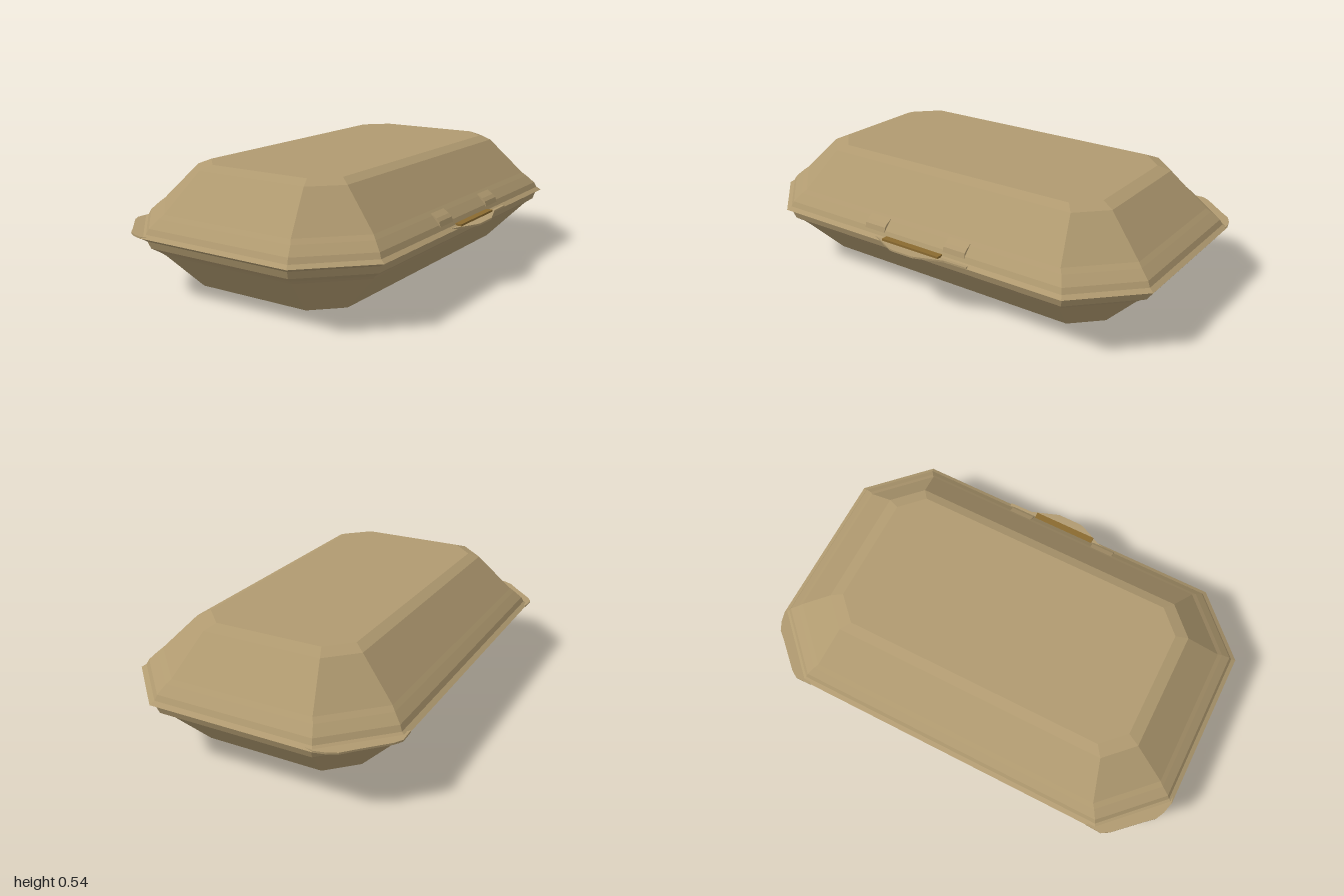
import * as THREE from 'three';

const CX = -0.025; // the body sits slightly off centre because of the latch tab
const board = new THREE.MeshStandardMaterial({ color: 0xb09a70, flatShading: true, side: THREE.DoubleSide });
const slotBrown = new THREE.MeshStandardMaterial({ color: 0x8a6a30, flatShading: true, side: THREE.DoubleSide });

// Octagon ring, counter-clockwise from above: half width, half length, corner cut, height
function ring([hx, hz, cut, y]) {
  return [
    [hx, hz - cut], [hx, cut - hz], [hx - cut, -hz], [cut - hx, -hz],
    [-hx, cut - hz], [-hx, hz - cut], [cut - hx, hz], [hx - cut, hz],
  ].map(([x, z]) => [x + CX, y, z]);
}

// Faceted skin over rings listed from bottom to top, closed at one end
function shell(name, sections, capTop) {
  const rings = sections.map(ring);
  const pos = [];
  const tri = (a, b, c) => pos.push(...a, ...b, ...c);
  for (let i = 0; i < rings.length - 1; i++) {
    for (let j = 0; j < 8; j++) {
      const k = (j + 1) % 8;
      tri(rings[i][j], rings[i][k], rings[i + 1][k]);
      tri(rings[i][j], rings[i + 1][k], rings[i + 1][j]);
    }
  }
  const cap = rings[capTop ? rings.length - 1 : 0];
  for (let j = 1; j < 7; j++) {
    if (capTop) tri(cap[0], cap[j], cap[j + 1]);
    else tri(cap[0], cap[j + 1], cap[j]);
  }
  const geo = new THREE.BufferGeometry();
  geo.setAttribute('position', new THREE.Float32BufferAttribute(pos, 3));
  geo.computeVertexNormals();
  const mesh = new THREE.Mesh(geo, board);
  mesh.name = name;
  return mesh;
}

// Thin horizontal plate from an outline in x and z
function plate(name, outline, y, thickness, material) {
  const shape = new THREE.Shape(outline.map(([x, z]) => new THREE.Vector2(x, -z)));
  const geo = new THREE.ExtrudeGeometry(shape, { depth: thickness, bevelEnabled: false });
  geo.rotateX(-Math.PI / 2);
  const mesh = new THREE.Mesh(geo, material);
  mesh.name = name;
  mesh.position.y = y;
  return mesh;
}

export function createModel() {
  const group = new THREE.Group();
  group.name = 'clamshellFoodBox';

  // Base tray: floor, bevel, sloped walls, stepped rim
  group.add(shell('base', [
    [0.345, 0.70, 0.10, 0],
    [0.39, 0.755, 0.12, 0.022],
    [0.545, 0.91, 0.22, 0.185],
    [0.56, 0.93, 0.225, 0.202],
    [0.592, 0.965, 0.24, 0.225],
    [0.603, 0.978, 0.245, 0.257],
    [0.627, 1.0, 0.255, 0.272],
  ], false));

  // Lid: the same form turned over
  group.add(shell('lid', [
    [0.627, 1.0, 0.255, 0.272],
    [0.607, 0.98, 0.245, 0.285],
    [0.596, 0.968, 0.24, 0.308],
    [0.563, 0.93, 0.225, 0.343],
    [0.545, 0.91, 0.22, 0.36],
    [0.39, 0.755, 0.12, 0.52],
    [0.345, 0.70, 0.10, 0.54],
  ], true));

  // Rounded hinge flaps that bulge past the two rear corners
  for (const s of [1, -1]) {
    group.add(plate(s > 0 ? 'hingeFlapFront' : 'hingeFlapBack', [
      [-0.653, 0.70], [-0.656, 0.775], [-0.635, 0.81], [-0.53, 0.92],
      [-0.49, 0.965], [-0.45, 0.985], [-0.40, 0.998], [-0.36, 0.99],
    ].map(([x, z]) => [x, z * s]), 0.27, 0.008, board));
  }

  // Latch: tongue, slot and the pressed pads beside it
  group.add(plate('latchTongue', [
    [0.57, 0.27], [0.60, 0.17], [0.625, 0.12], [0.648, 0.07], [0.652, 0.05],
    [0.652, -0.06], [0.62, -0.15], [0.606, -0.19], [0.604, -0.3], [0.57, -0.3],
  ], 0.272, 0.008, board));
  group.add(plate('latchSlot', [
    [0.56, 0.145], [0.61, 0.145], [0.61, -0.16], [0.56, -0.16],
  ], 0.281, 0.009, slotBrown));

  const padProfile = new THREE.Shape([
    [0.53, 0.30], [0.577, 0.30], [0.571, 0.322], [0.557, 0.335], [0.53, 0.352],
  ].map(([x, y]) => new THREE.Vector2(x, y)));
  for (const s of [1, -1]) {
    const pad = new THREE.Mesh(
      new THREE.ExtrudeGeometry(padProfile, { depth: 0.11, bevelEnabled: false }), board);
    pad.name = s > 0 ? 'latchPadFront' : 'latchPadBack';
    pad.position.z = s > 0 ? 0.16 : -0.27;
    group.add(pad);
  }
  return group;
}
